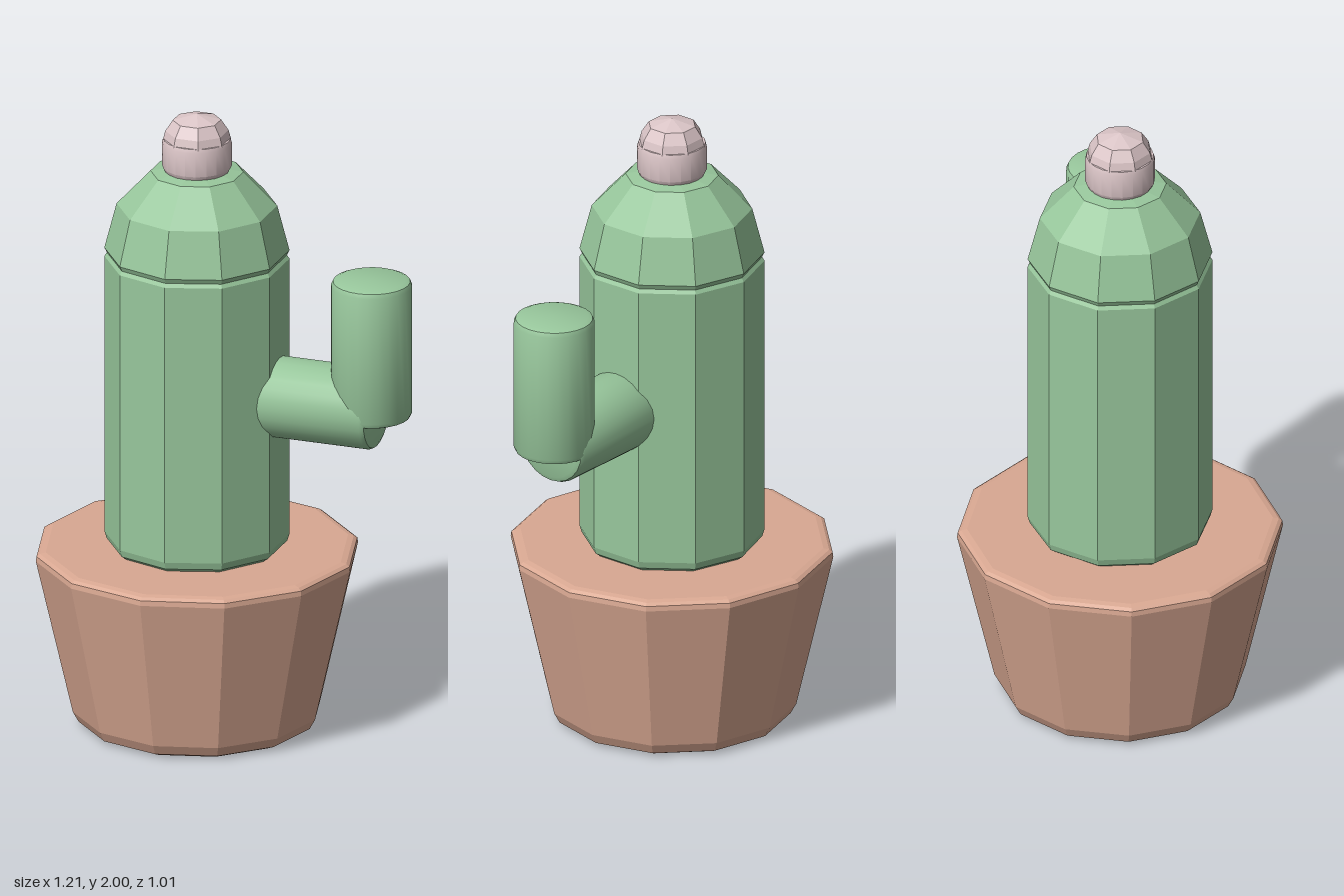
import * as THREE from 'three';
import { toCreasedNormals } from 'three/addons/utils/BufferGeometryUtils.js';

const CENTRE_X = -0.1;

function material(name, color) {
  const m = new THREE.MeshStandardMaterial({ color });
  m.name = name;
  return m;
}

// Turned solid; profile runs bottom to top as [radius, height] pairs.
// Edges sharper than the crease angle stay hard.
function turned(name, profile, sides, crease, mat) {
  const points = profile.map(([r, y]) => new THREE.Vector2(r, y));
  const geometry = toCreasedNormals(new THREE.LatheGeometry(points, sides), crease);
  const mesh = new THREE.Mesh(geometry, mat);
  mesh.name = name;
  return mesh;
}

// Round rod standing on its origin, with softened rims
function rod(name, radius, length, mat) {
  const b = 0.02;
  return turned(name, [
    [0, 0], [radius - b, 0], [radius - b * 0.3, b * 0.3], [radius, b],
    [radius, length - b], [radius - b * 0.3, length - b * 0.3], [radius - b, length], [0, length],
  ], 24, 0.5, mat);
}

export function createModel() {
  const model = new THREE.Group();
  model.name = 'pottedCactus';
  const clay = material('clay', 0xd9a892);
  const green = material('cactusGreen', 0x98c79c);
  const pink = material('flowerPink', 0xdcc6c8);
  const FLAT = 0.02;

  // Twelve-sided tapered pot with bevelled rim and foot
  const pot = turned('pot', [
    [0, 0], [0.345, 0], [0.372, 0.012], [0.39, 0.045],
    [0.506, 0.55], [0.504, 0.566], [0.493, 0.574], [0.475, 0.578], [0, 0.578],
  ], 12, FLAT, clay);

  // Ten-sided trunk with a thin groove below its faceted dome
  const trunk = turned('trunk', [
    [0, 0.579], [0.262, 0.579], [0.28, 0.592], [0.287, 0.615],
    [0.287, 1.525], [0.279, 1.537], [0.287, 1.553],
    [0.249, 1.7], [0.144, 1.81], [0, 1.835],
  ], 10, FLAT, green);

  // Flower bud: round base and faceted cap
  const budBase = turned('budBase', [
    [0, 1.815], [0.1, 1.815], [0.108, 1.83], [0.108, 1.908], [0.104, 1.92], [0, 1.92],
  ], 20, 0.5, pink);
  const budCap = turned('budCap', [
    [0.106, 1.915], [0.098, 1.945], [0.075, 1.98], [0, 2],
  ], 8, FLAT, pink);
  budCap.rotation.y = Math.PI / 8;

  for (const part of [pot, trunk, budBase, budCap]) {
    part.position.x = CENTRE_X;
    model.add(part);
  }

  // Side arm: a level rod and an upright rod meeting at the elbow
  const arm = new THREE.Group();
  arm.name = 'arm';
  const level = rod('armLevel', 0.128, 0.45, green);
  level.rotation.z = -Math.PI / 2;
  level.position.set(0.05, 1.1, 0);
  const upright = rod('armUpright', 0.126, 0.455, green);
  upright.position.set(0.477, 1.073, 0);
  arm.add(level, upright);
  model.add(arm);

  return model;
}
